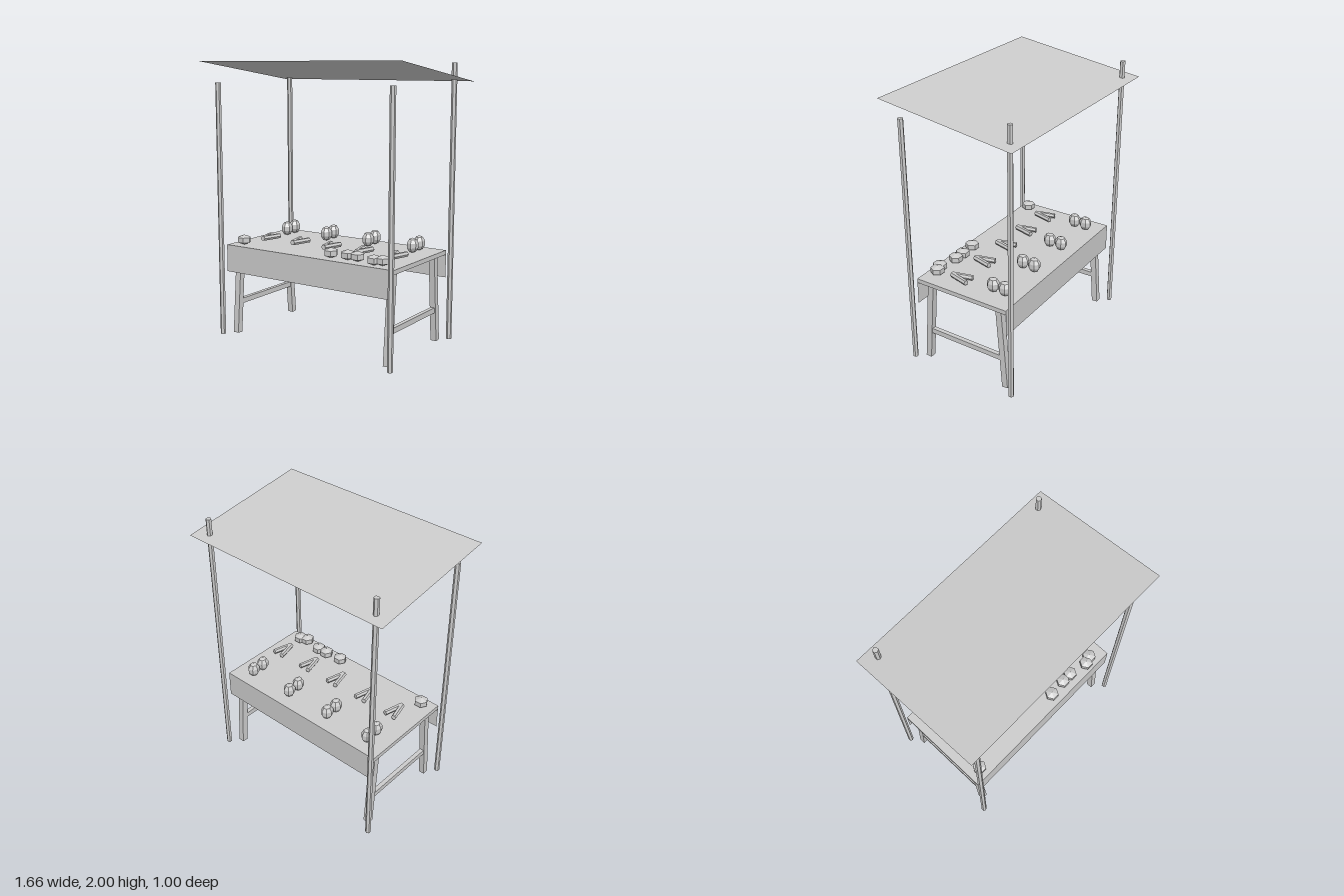
import * as THREE from 'three';

const mat = new THREE.MeshStandardMaterial({ color: 0xcccccc, flatShading: true });
const clothMat = new THREE.MeshStandardMaterial({ color: 0xcccccc, flatShading: true, side: THREE.DoubleSide });

export function createModel() {
  const model = new THREE.Group();

  const add = (name, geometry, x, y, z, material = mat) => {
    const mesh = new THREE.Mesh(geometry, material);
    mesh.name = name;
    mesh.position.set(x, y, z);
    model.add(mesh);
    return mesh;
  };

  // Table top with a cloth skirt along the front and back
  add('tableTop', new THREE.BoxGeometry(1.415, 0.032, 0.74), 0, 0.651, 0);
  for (const s of [-1, 1]) {
    const name = s > 0 ? 'frontSkirt' : 'backSkirt';
    add(name, new THREE.PlaneGeometry(1.415, 0.195), 0, 0.5645, s * 0.371, clothMat);
  }

  // Splayed legs, joined by a stretcher at each end
  const lean = 0.079;
  const legGeo = new THREE.BoxGeometry(0.045, 0.645, 0.045);
  const stretcherGeo = new THREE.BoxGeometry(0.032, 0.038, 0.6);
  for (const sx of [-1, 1]) {
    for (const sz of [-1, 1]) {
      const leg = add(sz > 0 ? 'frontLeg' : 'backLeg', legGeo, sx * 0.65, 0.323, sz * 0.308);
      leg.rotation.x = -sz * lean;
    }
    add('stretcher', stretcherGeo, sx * 0.65, 0.234, 0);
  }

  // Canopy poles, taller at the back
  for (const [name, height, z] of [['frontPole', 1.85, 0.418], ['backPole', 1.99, -0.418]]) {
    const poleGeo = new THREE.CylinderGeometry(0.02, 0.02, height, 6);
    for (const sx of [-1, 1]) add(name, poleGeo, sx * 0.72, height / 2, z);
  }

  // Flat canopy, sloping down towards the back
  const canopy = add('canopy', new THREE.PlaneGeometry(1.66, Math.hypot(1, 0.14)), 0, 1.93, 0, clothMat);
  canopy.rotation.x = -Math.PI / 2 - Math.atan(0.14);

  // Round vegetables along the front
  const roundGeo = new THREE.SphereGeometry(1, 6, 3).scale(0.057, 0.037, 0.057);
  const rounds = [[-0.61, 0.29], [0.165, 0.29], [0.297, 0.28], [0.377, 0.28], [0.525, 0.31], [0.58, 0.29]];
  for (const [x, z] of rounds) add('roundVegetable', roundGeo, x, 0.703, z);

  // Pairs of sticks laid out in a V that meets at the front
  const stickGeo = new THREE.CylinderGeometry(0.019, 0.019, 0.152, 6)
    .rotateY(Math.PI / 6).rotateX(Math.PI / 2);
  for (let i = 0; i < 5; i++) {
    for (const s of [-1, 1]) {
      const stick = add('stickVegetable', stickGeo, -0.53 + i * 0.275 + s * 0.02, 0.7, 0.095);
      stick.rotation.y = -s * 0.25;
    }
  }

  // Pairs of tall gourds along the back
  const gourdGeo = new THREE.SphereGeometry(1, 7, 5).scale(0.043, 0.054, 0.049);
  for (let i = 0; i < 4; i++) {
    for (const z of [-0.163, -0.258]) add('gourd', gourdGeo, -0.56 + i * 0.37, 0.721, z);
  }

  return model;
}
